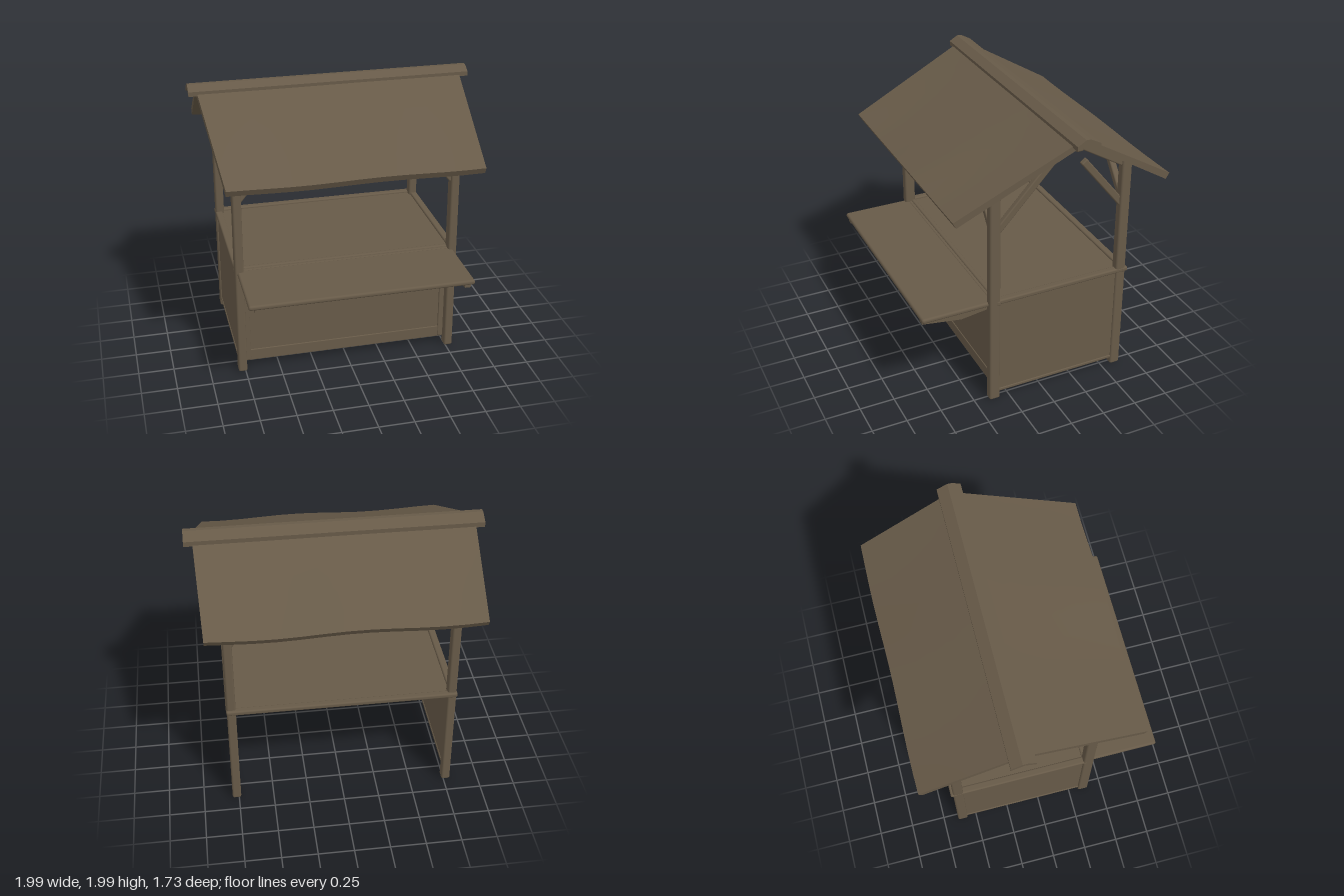
import * as THREE from 'three';
import { RoundedBoxGeometry } from 'three/addons/geometries/RoundedBoxGeometry.js';

export function createModel() {
  const model = new THREE.Group();
  model.name = 'marketStall';
  const wood = new THREE.MeshStandardMaterial({ color: 0x675a48 });
  wood.name = 'weathered wood';
  const V = (x, y, z) => new THREE.Vector3(x, y, z);

  const add = (name, geometry) => {
    const mesh = new THREE.Mesh(geometry, wood);
    mesh.name = name;
    model.add(mesh);
    return mesh;
  };
  // board given by its minimum and maximum corners
  const board = (name, a, b, radius = 0.008) => {
    const g = new RoundedBoxGeometry(b[0] - a[0], b[1] - a[1], b[2] - a[2], 2, radius);
    g.translate((a[0] + b[0]) / 2, (a[1] + b[1]) / 2, (a[2] + b[2]) / 2);
    return add(name, g);
  };
  // squared timber running from a to b
  const timber = (name, a, b, w, d = w) => {
    const dir = b.clone().sub(a);
    const mesh = add(name, new RoundedBoxGeometry(w, dir.length(), d, 2, Math.min(w, d) * 0.22));
    mesh.position.copy(a).add(b).multiplyScalar(0.5);
    mesh.quaternion.setFromUnitVectors(V(0, 1, 0), dir.normalize());
    return mesh;
  };
  // profile of [z, y] points extruded along x from x0 to x1
  const alongX = (name, points, x0, x1) => {
    const shape = new THREE.Shape(points.map(([z, y]) => new THREE.Vector2(-z, y)));
    const g = new THREE.ExtrudeGeometry(shape, { depth: x1 - x0, bevelEnabled: false });
    g.rotateY(Math.PI / 2).translate(x0, 0, 0);
    return add(name, g);
  };

  // top line of each roof slope
  const ridgeZ = -0.18;
  const frontTop = z => 1.965 - (z - ridgeZ) * 0.487;
  const backTop = z => 1.97 - (ridgeZ - z) * 0.6;

  for (const s of [-1, 1]) {
    // corner posts
    timber('frontPost', V(s * 0.769, 0, 0.36), V(s * 0.764, 1.65, 0.355), 0.062, 0.078);
    timber('backPost', V(s * 0.766, 0, -0.605), V(s * 0.764, 1.67, -0.605), 0.062, 0.074);

    // side wall and its rails
    const x = s * 0.772;
    board('sideWall', [x - 0.012, 0.05, -0.59], [x + 0.012, 0.8, 0.34]);
    board('sideRail', [x - 0.026, 0.785, -0.65], [x + 0.026, 0.82, 0.33], 0.012);
    board('sideFootRail', [x - 0.018, 0.05, -0.58], [x + 0.018, 0.075, 0.34]);

    // shelf bracket
    alongX('shelfBracket', [[0.38, 0.775], [0.38, 0.735], [0.58, 0.708], [0.86, 0.75], [0.86, 0.775]],
      s * 0.72 - 0.02, s * 0.72 + 0.02);

    // gable braces and rafters
    const g = s * 0.76;
    timber('longGableBrace', V(g, 1.33, 0.34), V(g, 1.87, -0.16), 0.04, 0.05);
    timber('upperGableBrace', V(g, 1.61, 0.36), V(g, 1.72, 0.09), 0.035, 0.035);
    timber('backGableBrace', V(g, 1.32, -0.6), V(g, 1.71, -0.285), 0.04, 0.05);
    timber('gableRafter', V(g, 1.63, -0.6), V(g, 1.88, ridgeZ), 0.045, 0.05);

    // braces running inward along the eave beams
    timber('frontEaveBrace', V(s * 0.76, 1.32, 0.355), V(s * 0.53, 1.6, 0.355), 0.045);
    timber('backEaveBrace', V(s * 0.76, 1.34, -0.605), V(s * 0.53, 1.63, -0.605), 0.045);

    // inner rafters
    for (const rx of [0.16, 0.3]) {
      timber('frontRafter', V(s * rx, frontTop(0.64) - 0.065, 0.64), V(s * rx, 1.89, ridgeZ), 0.032);
      timber('backRafter', V(s * rx, backTop(-0.8) - 0.065, -0.8), V(s * rx, 1.89, ridgeZ), 0.032);
    }
  }

  // long roof beams
  timber('ridgeBeam', V(-0.9, 1.885, ridgeZ), V(0.9, 1.885, ridgeZ), 0.055);
  timber('frontEaveBeam', V(-0.78, 1.615, 0.355), V(0.78, 1.615, 0.355), 0.05);
  timber('backEaveBeam', V(-0.78, 1.645, -0.605), V(0.78, 1.645, -0.605), 0.05);

  // front wall with a raised frame
  board('frontWall', [-0.75, 0.05, 0.315], [0.75, 0.79, 0.335]);
  for (const s of [-1, 1]) {
    board('frontFrameSide', [s * 0.72 - 0.02, 0.06, 0.325], [s * 0.72 + 0.02, 0.78, 0.345], 0.006);
  }
  board('frontFrameBottom', [-0.74, 0.052, 0.325], [0.74, 0.14, 0.341], 0.006);
  board('frontFrameTop', [-0.74, 0.73, 0.325], [0.74, 0.79, 0.345], 0.006);

  // counter top, its rails and the serving shelf
  board('counterTop', [-0.77, 0.78, -0.62], [0.77, 0.805, 0.37]);
  board('backRail', [-0.8, 0.785, -0.66], [0.8, 0.82, -0.61], 0.012);
  board('frontRail', [-0.8, 0.775, 0.315], [0.8, 0.815, 0.35], 0.012);
  board('servingShelf', [-0.78, 0.768, 0.36], [0.77, 0.803, 0.868], 0.015);

  // slightly warped roof slopes
  const slope = (name, topAt, eaveZ, ridgeHalf, eaveHalf) => {
    const geo = new THREE.BoxGeometry(2, 1, 1, 12, 1, 5);
    const p = geo.attributes.position;
    const front = eaveZ > ridgeZ;
    const slant = (topAt(eaveZ) - topAt(ridgeZ)) / (eaveZ - ridgeZ);
    const n = Math.hypot(1, slant);
    for (let i = 0; i < p.count; i++) {
      const u = p.getX(i);
      const t = front ? p.getZ(i) + 0.5 : 0.5 - p.getZ(i);
      const under = p.getY(i) < 0 ? 0.048 : 0;
      const z = THREE.MathUtils.lerp(ridgeZ, eaveZ, t);
      const warp = 0.007 * t * Math.sin(u * 5 + (front ? 0.5 : 2));
      p.setXYZ(i,
        u * THREE.MathUtils.lerp(ridgeHalf, eaveHalf, t),
        topAt(z) + warp - under / n,
        z + warp * 0.6 + under * t * slant / n);
    }
    geo.computeVertexNormals();
    add(name, geo);
  };
  slope('frontRoof', frontTop, 0.685, 0.94, 0.87);
  slope('backRoof', backTop, -0.86, 0.94, 0.91);

  // folded ridge cap
  alongX('ridgeCap', [[-0.105, 1.918], [-0.105, 1.95], [-0.165, 1.985], [-0.195, 1.985],
    [-0.27, 1.945], [-0.27, 1.91], [ridgeZ, 1.955]], -0.995, 0.995);

  return model;
}
